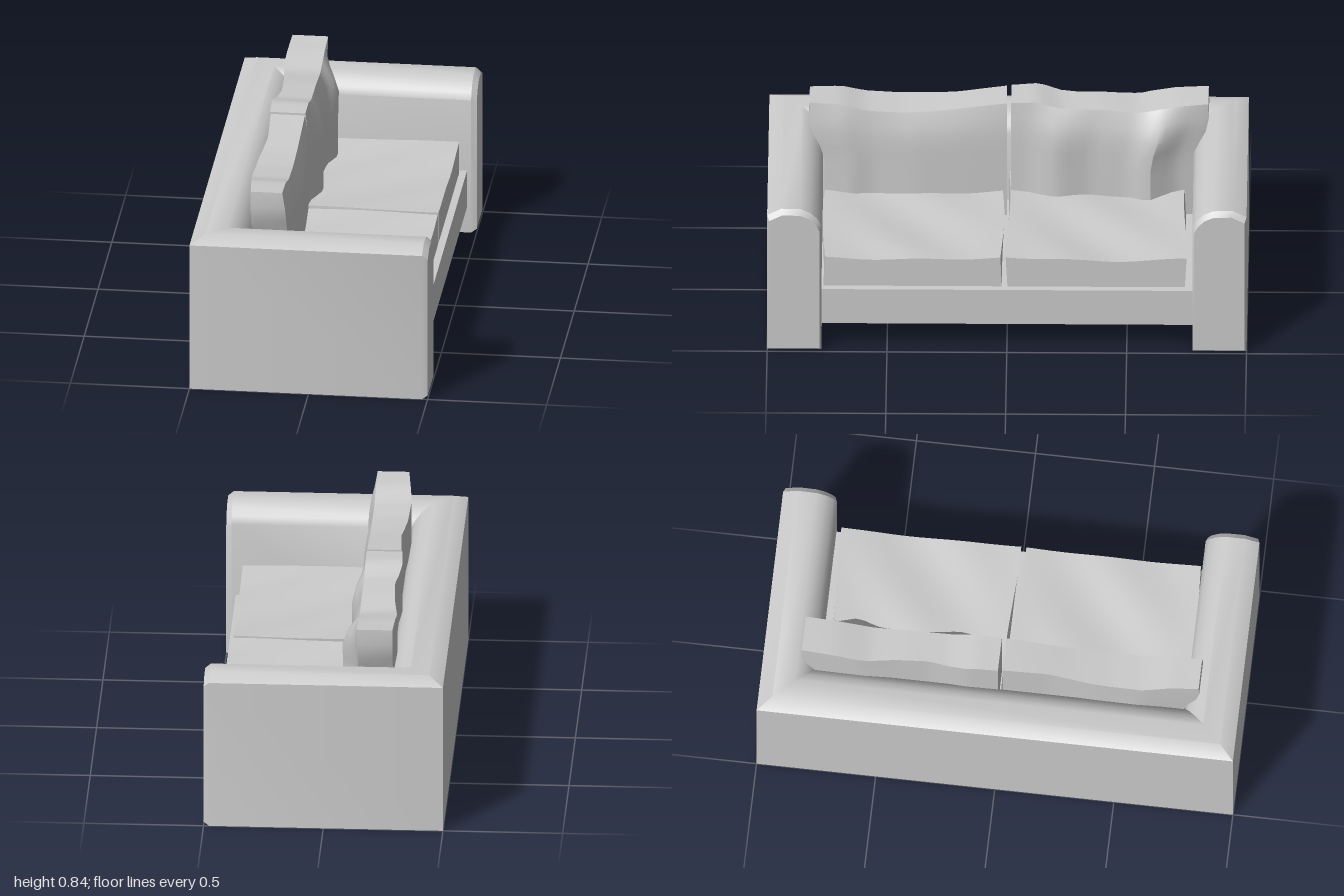
import * as THREE from 'three';
import { toCreasedNormals } from 'three/addons/utils/BufferGeometryUtils.js';

const material = new THREE.MeshStandardMaterial({ color: 0xcccccc });

function addMesh(group, name, geometry, crease = 0.5) {
  const mesh = new THREE.Mesh(toCreasedNormals(geometry, crease), material);
  mesh.name = name;
  group.add(mesh);
}

// Linear interpolation through [position, value] pairs sorted by position
function sample(pairs, t) {
  if (t <= pairs[0][0]) return pairs[0][1];
  for (let i = 1; i < pairs.length; i++) {
    const [t0, v0] = pairs[i - 1], [t1, v1] = pairs[i];
    if (t <= t1) return v0 + (v1 - v0) * (t - t0) / (t1 - t0);
  }
  return pairs[pairs.length - 1][1];
}

// Arms and back: one mitred U sweep. Profile is [distance inward, height].
function createFrame() {
  const profile = [[0, 0], [0, 0.65], [0.06, 0.68], [0.14, 0.678], [0.18, 0.66], [0.21, 0.63], [0.226, 0.6], [0.226, 0]];
  const inset = profile.map(([d, y]) => [0.113 + (d - 0.113) * 0.93, 0.015 + y * 0.95]);
  const arm = (points, x, side) => points.map(([d, y]) => [x, y, side * (1 - d)]);
  const corner = side => profile.map(([d, y]) => [-0.5 + d, y, side * (1 - d)]);
  const rings = [
    arm(inset, 0.5, 1), arm(profile, 0.477, 1), corner(1),
    corner(-1), arm(profile, 0.477, -1), arm(inset, 0.5, -1),
  ];
  const n = profile.length, index = [];
  for (let i = 0; i < rings.length - 1; i++) {
    for (let j = 0; j < n; j++) {
      const a = i * n + j, b = i * n + (j + 1) % n;
      index.push(a, b, b + n, a, b + n, a + n);
    }
  }
  // Front ends of the arms
  const last = (rings.length - 1) * n;
  for (let j = 1; j < n - 1; j++) {
    index.push(0, j + 1, j, last, last + j, last + j + 1);
  }
  const geometry = new THREE.BufferGeometry();
  geometry.setAttribute('position', new THREE.Float32BufferAttribute(rings.flat(2), 3));
  geometry.setIndex(index);
  return geometry;
}

// Subdivided box between two corners, each vertex moved by a rule
function softBox(min, max, segments, rule) {
  const size = max.map((v, i) => v - min[i]);
  const geometry = new THREE.BoxGeometry(...size, ...segments);
  geometry.translate(...max.map((v, i) => (v + min[i]) / 2));
  const p = geometry.attributes.position, v = new THREE.Vector3();
  for (let i = 0; i < p.count; i++) {
    v.fromBufferAttribute(p, i);
    const u = [v.x, v.y, v.z].map((c, k) => (c - min[k]) / size[k]);
    rule(v, ...u);
    p.setXYZ(i, v.x, v.y, v.z);
  }
  return geometry;
}

function createSeat(z0, z1, phase) {
  return softBox([-0.27, 0.28, z0], [0.43, 0.42, z1], [12, 3, 14], (v, ux, uy, uz) => {
    const middle = Math.sin(Math.PI * uz);
    v.y += uy * middle * (-0.014 + 0.007 * Math.sin(ux * 8 + uz * 9 + phase));
    v.z += uy * 0.008 * Math.sin(ux * 5 + phase) * (uz < 0.5 ? 1 : -1) * Math.abs(2 * uz - 1);
  });
}

// Back cushion: top, front and back follow profiles along z
function createBackCushion(z0, z1, outer, top, front, back) {
  return softBox([-0.28, 0.3, z0], [-0.12, 0.83, z1], [2, 8, 24], (v, ux, uy, uz) => {
    const z = v.z;
    v.y = 0.3 + uy * (sample(top, z) - 0.3 - 0.008 * ux * Math.sin(Math.PI * uz));
    const bulge = sample([[0.5, 1], [0.82, 1], [1, 0]], uy);
    const frontX = -0.13 + (sample(front, z) + 0.13) * bulge;
    const backX = sample(back, z);
    v.x = backX + (frontX - backX) * ux;
    // Outer end tucks in between the arms below their tops
    const tuck = sample([[0, 0.065], [0.57, 0.065], [0.7, 0.022], [0.83, 0], [1, 0.003]], uy);
    const u = outer > 0 ? uz : 1 - uz;
    v.z -= outer * tuck * u * u;
  });
}

export function createModel() {
  const sofa = new THREE.Group();
  sofa.name = 'sofa';

  addMesh(sofa, 'armsAndBack', createFrame());

  const base = new THREE.BoxGeometry(0.74, 0.165, 1.548);
  base.translate(0.09, 0.1975, 0);
  addMesh(sofa, 'seatBase', base);

  addMesh(sofa, 'leftSeatCushion', createSeat(-0.742, -0.002, 0));
  addMesh(sofa, 'rightSeatCushion', createSeat(0.022, 0.765, 2));

  addMesh(sofa, 'leftBackCushion', createBackCushion(-0.838, -0.012, -1,
    [[-0.84, 0.835], [-0.7, 0.825], [-0.55, 0.797], [-0.4, 0.812], [-0.22, 0.815], [-0.12, 0.842], [0, 0.835]],
    [[-0.84, -0.135], [-0.75, -0.12], [-0.62, -0.055], [-0.52, -0.095], [-0.35, -0.105], [-0.2, -0.075], [-0.08, -0.115], [0, -0.12]],
    [[-0.84, -0.28], [-0.6, -0.288], [-0.45, -0.27], [-0.3, -0.262], [-0.15, -0.285], [0, -0.278]]), 0.6);
  addMesh(sofa, 'rightBackCushion', createBackCushion(0.006, 0.832, 1,
    [[0, 0.835], [0.1, 0.825], [0.3, 0.802], [0.45, 0.795], [0.6, 0.802], [0.7, 0.83], [0.84, 0.833]],
    [[0, -0.115], [0.2, -0.105], [0.4, -0.1], [0.6, -0.115], [0.7, -0.1], [0.84, -0.115]],
    [[0, -0.275], [0.2, -0.262], [0.4, -0.28], [0.6, -0.285], [0.75, -0.27], [0.84, -0.262]]), 0.6);

  return sofa;
}
